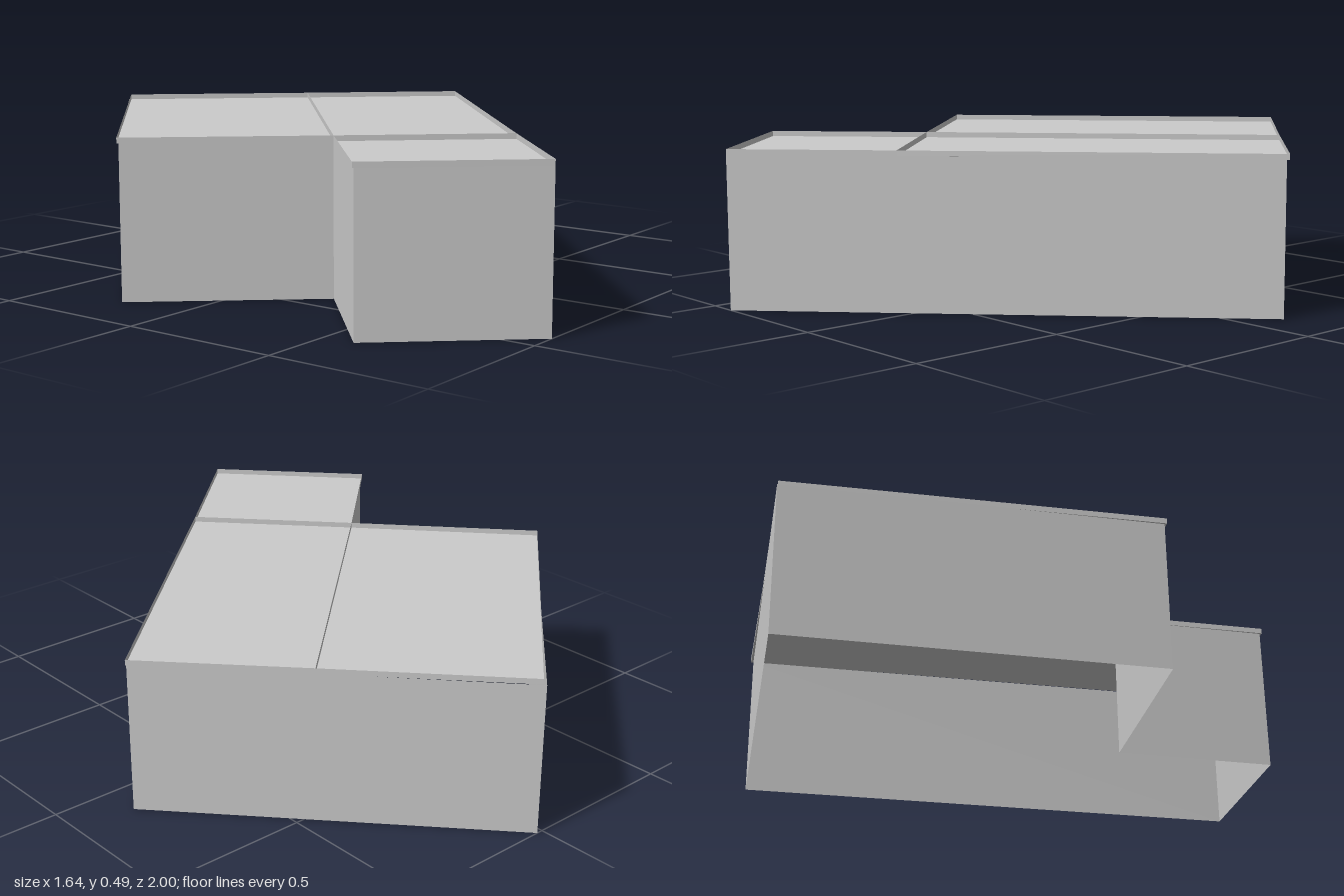
import * as THREE from 'three';

const WALL_TOP = 0.473, RIM_TOP = 0.49;

// Upright strip of flat panels around a closed outline of [x, z] corners
function upright(outline, y0, y1) {
  const pos = [];
  outline.forEach(([ax, az], i) => {
    const [bx, bz] = outline[(i + 1) % outline.length];
    pos.push(ax, y0, az, bx, y0, bz, bx, y1, bz);
    pos.push(ax, y0, az, bx, y1, bz, ax, y1, az);
  });
  const geo = new THREE.BufferGeometry();
  geo.setAttribute('position', new THREE.Float32BufferAttribute(pos, 3));
  geo.computeVertexNormals();
  return geo;
}

// Flat sheet filling an outline at height y
function sheet(outline, y) {
  const shape = new THREE.Shape(outline.map(([x, z]) => new THREE.Vector2(x, z)));
  return new THREE.ShapeGeometry(shape).rotateX(Math.PI / 2).translate(0, y, 0);
}

export function createModel() {
  const model = new THREE.Group();
  model.name = 'building';
  const material = new THREE.MeshStandardMaterial({
    color: 0xcccccc, flatShading: true, side: THREE.DoubleSide,
  });
  const add = (name, geometry, parent) => {
    const mesh = new THREE.Mesh(geometry, material);
    mesh.name = name;
    parent.add(mesh);
  };

  // L-shaped outer walls, open underneath; corners run anticlockwise from above
  const walls = [
    [0.02, -1], [-0.812, -0.22], [-0.4, 0.25],
    [-0.767, 0.6], [-0.41, 1], [0.81, -0.125],
  ];
  add('walls', upright(walls, 0, WALL_TOP), model);

  // Roof corners, slightly off the walls
  const back = [0.023, -0.992], right = [-0.82, -0.22], inner = [-0.4, 0.25];
  const wingEnd = [-0.775, 0.6], front = [-0.41, 1], left = [0.817, -0.13];
  const seamBack = [0.45, -0.525], seamFront = [-0.035, 0.65];

  // Three shallow roof trays with thin raised rims
  const trays = {
    mainRoof: [back, right, inner, seamBack],
    sideRoof: [seamBack, inner, seamFront, left],
    wingRoof: [inner, wingEnd, front, seamFront],
  };
  for (const [name, outline] of Object.entries(trays)) {
    const tray = new THREE.Group();
    tray.name = name;
    add(name + 'Deck', sheet(outline, WALL_TOP), tray);
    add(name + 'Rim', upright(outline, WALL_TOP, RIM_TOP), tray);
    model.add(tray);
  }
  return model;
}
